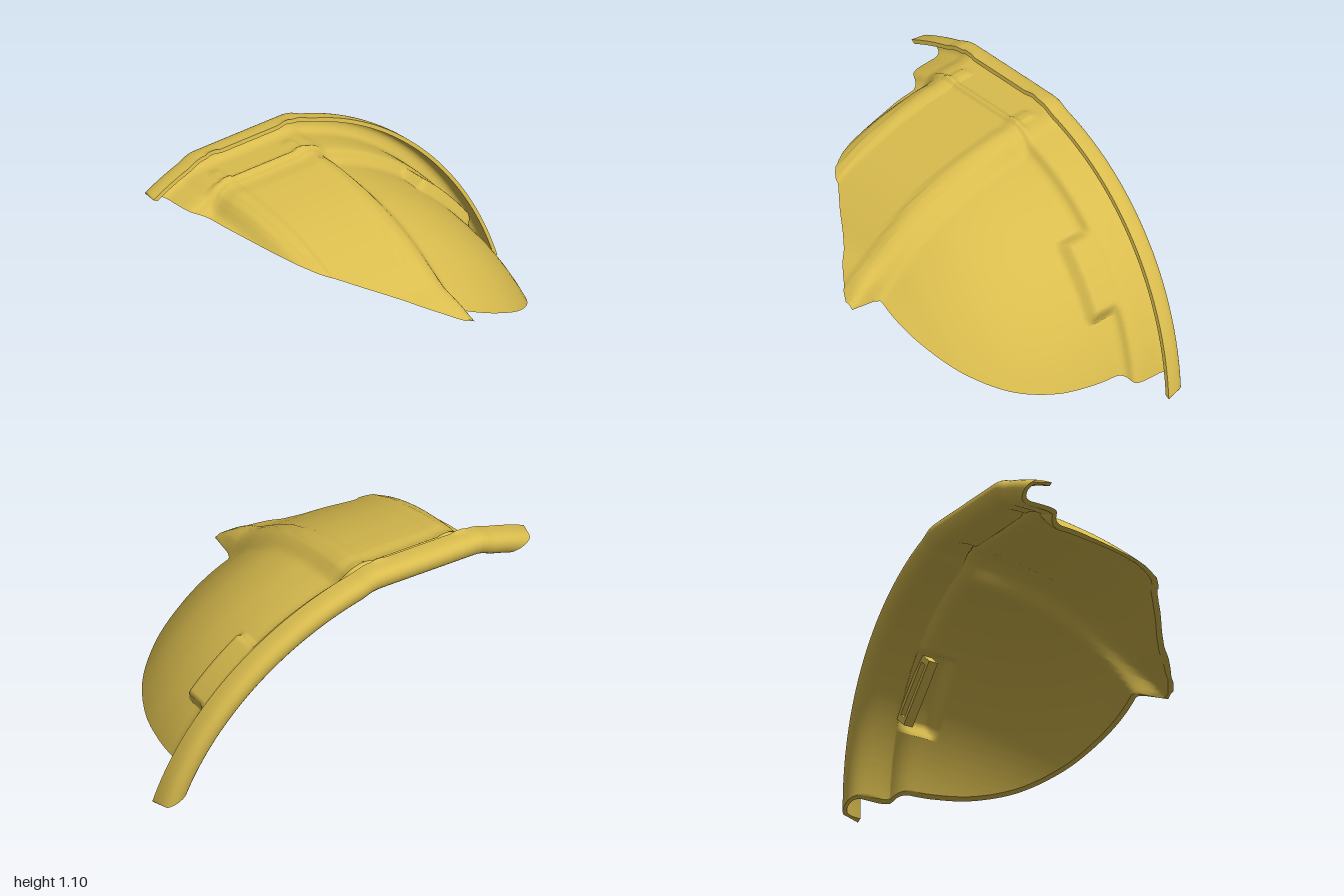
import * as THREE from 'three';
import { mergeVertices } from 'three/addons/utils/BufferGeometryUtils.js';

const XC = -0.39, YC = -0.33;            // dome axis
const TILT = 0.167;                      // rim plane leans back
const MID = Math.atan2(1, 0.485);        // direction of the cutting plane's normal
const H = 0.9036;                        // distance from the axis to the cutting plane
const WALL = 0.02;
const ROWS = 72, COLS = 120;
const DEG = Math.PI / 180;
const { lerp, smoothstep, clamp } = THREE.MathUtils;

// Meridian (radius, depth): gutter lip, curl, band, step, dome
const profile = new THREE.CatmullRomCurve3([
  [1.417, -0.37], [1.415, -0.42], [1.405, -0.452], [1.382, -0.466], [1.35, -0.46],
  [1.334, -0.435], [1.331, -0.37], [1.328, -0.3], [1.318, -0.265], [1.285, -0.245],
  [1.268, -0.215], [1.263, -0.15], [1.26, -0.11], [1.255, -0.06], [1.225, 0.12],
  [1.15, 0.33], [1.04, 0.5], [0.95, 0.6], [0.895, 0.66], [0.8, 0.755], [0.72, 0.82],
].map(([r, u]) => new THREE.Vector3(r, u, 0)), false, 'centripetal');

// Height of the flat central ridge above the dome, by depth
const ridgeTable = [[-0.3, -0.02], [-0.235, 0.03], [-0.15, 0.034], [0.12, 0.02], [0.33, 0.018],
  [0.5, 0.03], [0.6, 0.048], [0.65, 0.06], [0.7, 0.085], [0.82, 0.13]];
function ridgeHeight(u) {
  if (u <= ridgeTable[0][0]) return ridgeTable[0][1];
  for (let i = 1; i < ridgeTable.length; i++) {
    const [a, p] = ridgeTable[i - 1], [b, q] = ridgeTable[i];
    if (u <= b) return lerp(p, q, (u - a) / (b - a));
  }
  return ridgeTable[ridgeTable.length - 1][1];
}

// Shell point at angle a and profile position s, moved by off towards the inside
function shellPoint(a, s, off) {
  const p = profile.getPoint(s), t = profile.getTangent(s);
  const u = p.y + t.x * off;
  let r = p.x;
  // central ridge with a bead along each edge
  const dx = Math.abs(r * Math.cos(a));
  const w = 1 - smoothstep(dx, 0.26, 0.38);
  if (w > 0 && Math.sin(a) > 0.5) {
    const bead = 0.01 * smoothstep(dx, 0.19, 0.205) * (1 - smoothstep(dx, 0.25, 0.265)) * smoothstep(p.y, -0.4, -0.36);
    r = lerp(r, (r + ridgeHeight(p.y)) / Math.sin(a) + bead, w);
  }
  // side block
  const d = Math.abs(a / DEG - 42.5);
  const b = (1 - smoothstep(d, 7.8, 9.6)) * (1 - smoothstep(p.y, -0.13, -0.085));
  r = lerp(r, Math.max(r, 1.316), b) - t.y * off;
  const y = YC + r * Math.sin(a);
  return { r, v: new THREE.Vector3(XC + r * Math.cos(a), y, u - TILT * y) };
}

const above = (a, r) => r * Math.cos(a - MID) - H;

// One side of the shell, each meridian trimmed where it meets the cutting plane
function makeSide(angles, off) {
  const limit = Math.acos(H / shellPoint(0, 0, off).r);
  const grid = [], cut = [];
  for (const angle of angles) {
    const a = clamp(angle, MID - limit, MID + limit);
    const col = [];
    let end = null;
    for (let i = 0; i <= ROWS; i++) {
      if (end) { col.push(end); continue; }
      const p = shellPoint(a, i / ROWS, off);
      if (above(a, p.r) >= 0) { col.push(p.v); continue; }
      let lo = Math.max(0, i - 1) / ROWS, hi = i / ROWS;
      for (let k = 0; k < 24; k++) {
        const m = (lo + hi) / 2;
        if (above(a, shellPoint(a, m, off).r) >= 0) lo = m; else hi = m;
      }
      end = shellPoint(a, lo, off).v;
      col.push(end);
    }
    grid.push(col);
    cut.push(end || col[ROWS]);
  }
  return { grid, cut, lip: grid.map((c) => c[0]) };
}

// Quad mesh from columns of points, leaving out collapsed triangles
function skin(grid, flip) {
  const pos = [];
  const tri = (a, b, c) => {
    const area = b.clone().sub(a).cross(c.clone().sub(a)).length();
    if (area > 1e-9) for (const p of flip ? [a, c, b] : [a, b, c]) pos.push(p.x, p.y, p.z);
  };
  for (let j = 0; j + 1 < grid.length; j++) {
    for (let i = 0; i + 1 < grid[j].length; i++) {
      const a = grid[j][i], b = grid[j + 1][i], c = grid[j + 1][i + 1], d = grid[j][i + 1];
      tri(a, b, c);
      tri(a, c, d);
    }
  }
  let g = new THREE.BufferGeometry();
  g.setAttribute('position', new THREE.Float32BufferAttribute(pos, 3));
  g = mergeVertices(g, 1e-5);
  g.computeVertexNormals();
  return g;
}

export function createModel() {
  const group = new THREE.Group();
  group.name = 'helmetShellSection';
  const mat = new THREE.MeshStandardMaterial({ color: 0xd9bc4e, side: THREE.DoubleSide });
  const add = (name, geo) => {
    const m = new THREE.Mesh(geo, mat);
    m.name = name;
    group.add(m);
    return m;
  };

  // Meridian angles: even spacing, plus the angles where the profile rows meet the cut
  const angles = [];
  const span = Math.acos(H / 1.437);
  for (let i = 0; i <= COLS; i++) angles.push(MID - span + (2 * span * i) / COLS);
  for (let i = 0; i <= ROWS; i++) {
    const r = profile.getPoint(i / ROWS).x;
    if (r > H) for (const s of [-1, 1]) angles.push(MID + s * Math.acos(H / r));
  }
  angles.sort((a, b) => a - b);

  const outer = makeSide(angles, 0);
  const inner = makeSide(angles, WALL);
  add('outerShell', skin(outer.grid, false));
  add('innerShell', skin(inner.grid, true));

  // Thin edges along the cut and the gutter lip
  const strip = (p, q) => p.map((v, i) => [v, q[i]]);
  add('cutEdge', skin(strip(outer.cut, inner.cut), false));
  add('rimLipEdge', skin(strip(outer.lip, inner.lip), true));

  // Slot frame inside the side block
  const rect = (path, w, h) => path.moveTo(-w, -h).lineTo(w, -h).lineTo(w, h).lineTo(-w, h).closePath();
  const shape = rect(new THREE.Shape(), 0.17, 0.045);
  shape.holes.push(rect(new THREE.Path(), 0.14, 0.022));
  const frame = add('slotFrame', new THREE.ExtrudeGeometry(shape, { depth: 0.05, bevelEnabled: false }));
  const a = 42.5 * DEG, r = 1.255, y = YC + r * Math.sin(a);
  frame.position.set(XC + r * Math.cos(a), y, -0.27 - TILT * y);
  frame.rotation.z = a - Math.PI / 2;
  return group;
}
